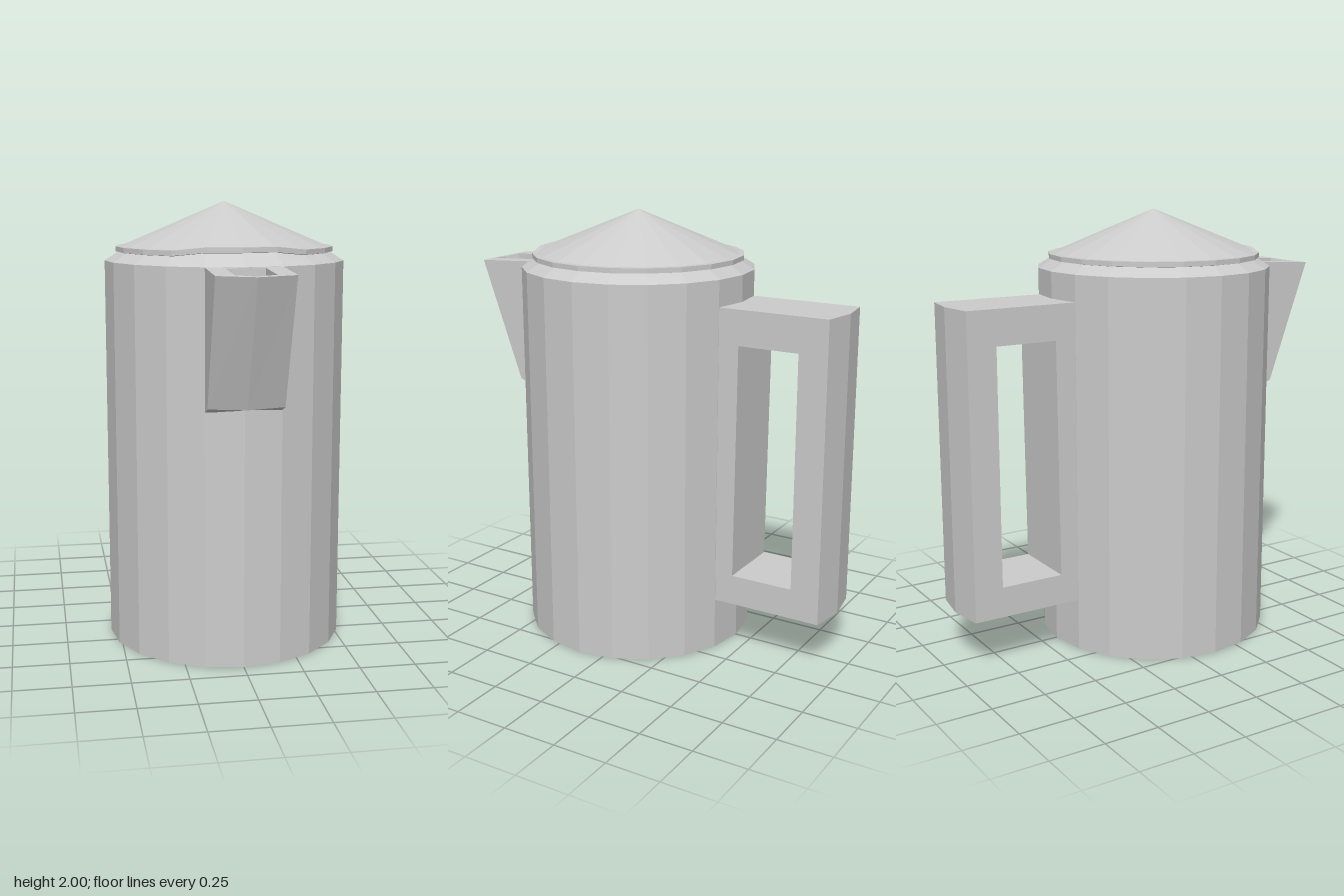
import * as THREE from 'three';

const SIDES = 20;
const BODY_Z = 0.12;
const HALF_W = 0.165;
const material = new THREE.MeshStandardMaterial({ color: 0xcccccc, flatShading: true });

function addMesh(group, name, geometry) {
  const flat = geometry.index ? geometry.toNonIndexed() : geometry;
  flat.computeVertexNormals();
  const mesh = new THREE.Mesh(flat, material);
  mesh.name = name;
  group.add(mesh);
}

function moveVertices(geometry, rule) {
  const pos = geometry.attributes.position;
  const v = new THREE.Vector3();
  for (let i = 0; i < pos.count; i++) {
    rule(v.fromBufferAttribute(pos, i));
    pos.setXYZ(i, v.x, v.y, v.z);
  }
  return geometry;
}

// Faceted turned form; the rim is pinched up a little over the spout
function turned(profile) {
  const geometry = new THREE.LatheGeometry(profile.map(([r, y]) => new THREE.Vector2(r, y)), SIDES);
  moveVertices(geometry, (v) => {
    if (v.y > 1.76 && v.z > 0.4) {
      v.y += 0.015;
      v.z -= 0.012;
    }
  });
  return geometry.translate(0, 0, BODY_Z);
}

// Rectangular loop handle with a ridged back
function handleGeometry() {
  const shape = new THREE.Shape();
  shape.moveTo(0.385, 0.24).lineTo(0.91, 0.24).lineTo(0.91, 1.62).lineTo(0.385, 1.62).closePath();
  const hole = new THREE.Path();
  hole.moveTo(0.48, 0.38).lineTo(0.49, 1.46).lineTo(0.775, 1.46).lineTo(0.775, 0.38).closePath();
  shape.holes.push(hole);
  const geometry = new THREE.ExtrudeGeometry(shape, { depth: 2 * HALF_W, steps: 2, bevelEnabled: false });
  geometry.translate(0, 0, -HALF_W).rotateY(Math.PI / 2);
  return moveVertices(geometry, (v) => {
    if (Math.abs(v.x) < 0.01 && v.z < -0.9) v.z -= 0.025;
  });
}

// One five-point spout section, counter-clockwise from above
function spoutRing(w, backZ, backY, frontZ, frontY, bulge) {
  return [
    [-w, backY, backZ], [-w, frontY, frontZ], [0, frontY - 0.005, frontZ + bulge],
    [w, frontY, frontZ], [w, backY, backZ],
  ];
}

// Wedge spout: outer skin, top rim, then down into the pouring channel
function spoutGeometry() {
  const rings = [
    spoutRing(HALF_W, 0.62, 1.13, 0.7, 1.16, 0.02),
    spoutRing(HALF_W, 0.62, 1.74, 0.905, 1.725, 0.025),
    spoutRing(0.085, 0.665, 1.737, 0.89, 1.726, 0.012),
    spoutRing(0.085, 0.665, 1.17, 0.69, 1.18, 0.01),
  ];
  const n = rings[0].length;
  const indices = [];
  for (let r = 0; r < rings.length - 1; r++) {
    for (let i = 0; i < n; i++) {
      const a = r * n + i;
      const b = r * n + (i + 1) % n;
      indices.push(a, b, b + n, a, b + n, a + n);
    }
  }
  const last = (rings.length - 1) * n;
  for (let i = 1; i < n - 1; i++) {
    indices.push(0, i + 1, i);
    indices.push(last, last + i, last + i + 1);
  }
  const geometry = new THREE.BufferGeometry();
  geometry.setAttribute('position', new THREE.Float32BufferAttribute(rings.flat(2), 3));
  geometry.setIndex(indices);
  return geometry;
}

export function createModel() {
  const group = new THREE.Group();
  group.name = 'coffeePot';
  addMesh(group, 'body', turned([[0, 0], [0.54, 0], [0.54, 1.74], [0.475, 1.78]]));
  addMesh(group, 'lid', turned([[0.46, 1.775], [0.49, 1.78], [0.49, 1.802], [0.465, 1.803], [0, 2]]));
  addMesh(group, 'spout', spoutGeometry());
  addMesh(group, 'handle', handleGeometry());
  return group;
}
